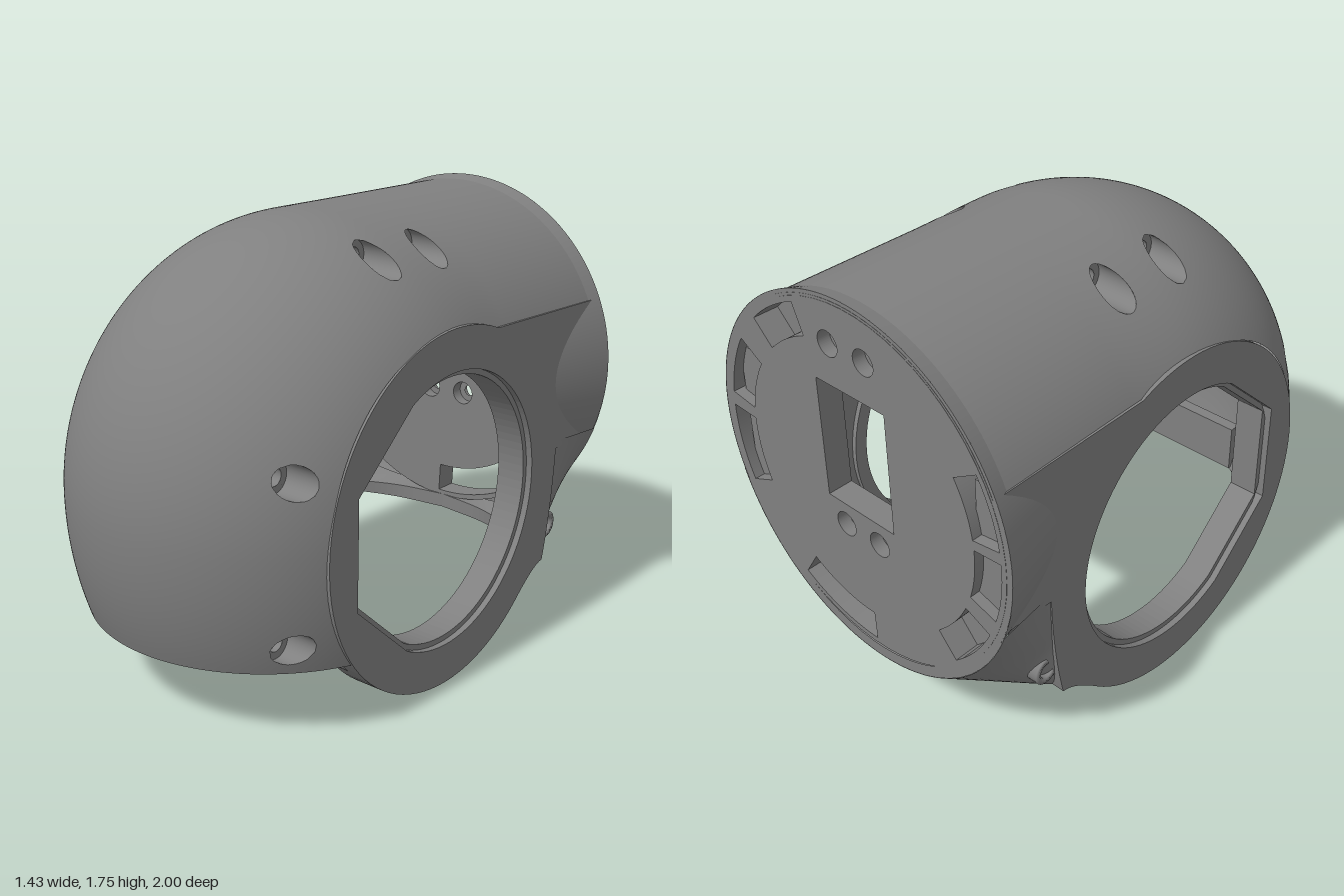
import * as THREE from 'three';

const WALL = 0.08, REACH = 1.0;                 // shell thickness, bend centre to crown
const BY = 0.735, CY = 1.035, CUT = 0.29;       // bend centre, back tube axis, bottom cut
const SQUASH = 0.85, SIDE = 0.64;               // lower bend stretch, flat side position
const RING = { z: -0.05, y: 0.69, r: 0.688 };
const SCREWS = [[0.10, 1.605, 0.29], [-0.18, 1.605, 0.29], [0.70, 0.99, 0.46], [0.70, 0.39, 0.46]]; // z, y, floor x
const { degToRad: rad, lerp, smoothstep } = THREE.MathUtils;

const mat = new THREE.MeshStandardMaterial({ color: 0x808080 });
const thin = mat.clone();
thin.side = THREE.DoubleSide;

// Outer tube radius: round at the back, fuller in the bend so it meets the side rings
const outerR = z => 0.70 + 0.036 * smoothstep(z, -0.35, 0);

// Half width of the outer skin at a given z and y
function tubeX(z, y, wall) {
  const R = outerR(z), bend = REACH - R;
  const dy = (y - BY) * (y < BY ? SQUASH : 1);
  const d = (z < 0 ? dy : Math.hypot(z, dy)) - bend;
  return Math.sqrt(Math.max(0, (R - wall) ** 2 - d * d));
}

// Point on the bent tube: t below 0 is the straight run, 0..1 the bend; u runs -1..1 across
function tubePoint(t, u, wall) {
  const R = outerR(t), phi = u * Math.asin(SIDE / R);
  const rho = REACH - R + (R - wall) * Math.cos(phi), x = (R - wall) * Math.sin(phi);
  if (t < 0) return new THREE.Vector3(x, BY + rho, t);
  const a = t * (Math.PI / 2 + Math.asin((BY - CUT) * SQUASH / rho));
  const dy = rho * Math.cos(a);
  return new THREE.Vector3(x, BY + (dy < 0 ? dy / SQUASH : dy), rho * Math.sin(a));
}

// Surface from a rule f(u, v); points inside a screw hole snap to its rim
function gridSurface(nu, nv, f, { hole = 0, wall = 0, flip = false } = {}) {
  const pos = [], idx = [], inside = [];
  for (let j = 0; j <= nv; j++) for (let i = 0; i <= nu; i++) {
    const p = f(i / nu, j / nv);
    let hit = false;
    if (hole) for (const [z, y] of SCREWS) {
      const d = Math.hypot(p.z - z, p.y - y) || 1e-6;
      if (d >= hole) continue;
      hit = true;
      p.z = z + (p.z - z) * hole / d;
      p.y = y + (p.y - y) * hole / d;
      p.x = Math.sign(p.x) * tubeX(p.z, p.y, wall);
    }
    inside.push(hit);
    pos.push(p.x, p.y, p.z);
  }
  const tri = (a, b, c) => {
    if (inside[a] && inside[b] && inside[c]) return;
    if (flip) idx.push(a, c, b); else idx.push(a, b, c);
  };
  for (let j = 0; j < nv; j++) for (let i = 0; i < nu; i++) {
    const a = j * (nu + 1) + i, b = a + nu + 1;
    tri(a, b, a + 1);
    tri(a + 1, b, b + 1);
  }
  const g = new THREE.BufferGeometry();
  g.setAttribute('position', new THREE.Float32BufferAttribute(pos, 3));
  g.setIndex(idx);
  g.computeVertexNormals();
  return g;
}

// D-shaped opening with a flat toward the front and two slanted corners
function dHole(r) {
  const k = r / 0.52, a = rad(61.5), p = new THREE.Path();
  p.moveTo(RING.z + 0.53 * k, RING.y - 0.205 * k);
  p.lineTo(RING.z + 0.53 * k, RING.y + 0.205 * k);
  p.absarc(RING.z, RING.y, r, a, 2 * Math.PI - a, false);
  p.closePath();
  return p;
}

// Extrude a (z, y) outline across x between x0 and x1, on the side given by s
function sidePlate(shape, s, x0, x1) {
  const g = new THREE.ExtrudeGeometry(shape, { depth: x1 - x0, bevelEnabled: false, curveSegments: 32 });
  return g.rotateY(-Math.PI / 2).translate(s > 0 ? x1 : -x0, 0, 0);
}

export function createModel() {
  const model = new THREE.Group();
  const add = (name, geo, material = mat, parent = model) => {
    const m = new THREE.Mesh(geo, material);
    m.name = name;
    parent.add(m);
    return m;
  };

  // Bent shell: outer skin, inner skin and bottom rim
  const skin = (wall, start) => (u, v) => tubePoint(lerp(start, 1, v), u * 2 - 1, wall);
  add('outerShell', gridSurface(80, 140, skin(0, -1), { hole: 0.06 }));
  add('innerShell', gridSurface(80, 140, skin(WALL, -0.89), { hole: 0.035, wall: WALL, flip: true }));
  add('shellBottomRim', gridSurface(60, 1, (u, v) => tubePoint(1, u * 2 - 1, v * WALL)), thin);
  add('frontInnerPad', new THREE.BoxGeometry(0.6, 0.2, 0.05).translate(0, 0.4, 0.775));

  // Side plates: bearing ring merging into a flat cheek toward the back
  const plate = new THREE.Shape();
  plate.moveTo(-0.96, 1.318);
  plate.lineTo(-0.96, 0.76);
  plate.lineTo(-0.75, 0.752);
  plate.quadraticCurveTo(-0.74, 0.50, -0.69, CUT);
  plate.quadraticCurveTo(-0.635, CUT, -0.505, 0.174);
  plate.absarc(RING.z, RING.y, RING.r, rad(-131.4), rad(111.5), false);
  plate.closePath();
  plate.holes.push(dHole(0.528));
  const lip = new THREE.Shape().absarc(RING.z, RING.y, 0.56, 0, Math.PI * 2);
  lip.holes.push(dHole(0.506));
  // Small web between the ring and the front shell edge
  const web = new THREE.Shape();
  web.moveTo(0.61, 0.295);
  web.quadraticCurveTo(0.52, 0.285, 0.44, 0.21);
  web.lineTo(0.44, 0.33);
  web.lineTo(0.61, 0.33);
  web.closePath();
  for (const [side, s] of [['left', 1], ['right', -1]]) {
    add(side + 'SidePlate', sidePlate(plate, s, 0.525, SIDE + 0.005));
    add(side + 'RingLip', sidePlate(lip, s, 0.505, 0.62));
    add(side + 'RingWeb', sidePlate(web, s, 0.52, 0.58));
  }

  // Flared collar around the back end
  const flare = new THREE.LatheGeometry(
    [new THREE.Vector2(0.645, -0.72), new THREE.Vector2(0.715, -1)], 90, rad(66), rad(228));
  add('backCollar', flare.rotateX(Math.PI / 2).translate(0, CY, 0), thin);

  // Collar rim, slightly deeper below the axis where it meets the skirt
  const DROP = 1.042;
  const rim = new THREE.RingGeometry(0.67, 0.715, 64);
  const rp = rim.attributes.position;
  for (let i = 0; i < rp.count; i++) if (rp.getY(i) < 0) rp.setY(i, rp.getY(i) * DROP);
  add('backCollarRim', rim.translate(0, CY, -0.999), thin);

  // Lower skirt: blends the round back end into the side plates and open bottom
  const edge = new THREE.CatmullRomCurve3([
    [0.638, 0.78, -0.73], [0.638, 0.52, -0.70], [0.622, 0.30, -0.66],
    [0.50, CUT, -0.76], [0.25, CUT, -0.86], [0, CUT, -0.90],
  ].map(p => new THREE.Vector3(...p)));
  const skirtPoint = (u, v, inset) => {
    const psi = lerp(rad(20), Math.PI / 2, u), c = Math.cos(psi), s = Math.sin(psi);
    const p = new THREE.Vector3(0.715 * c, CY - 0.715 * DROP * s, -1).lerp(edge.getPoint(u), v);
    return p.add(new THREE.Vector3(-inset * c, inset * s, 0));
  };
  const skirtParts = {
    SkirtOuter: gridSurface(32, 8, (u, v) => skirtPoint(u, v, 0)),
    SkirtInner: gridSurface(32, 8, (u, v) => skirtPoint(u, lerp(0.4, 1, v), 0.06)),
    SkirtEdge: gridSurface(32, 1, (u, v) => skirtPoint(u, 1, v * 0.06)),
  };
  for (const [side, s] of [['left', 1], ['right', -1]])
    for (const [part, geo] of Object.entries(skirtParts)) add(side + part, geo, thin).scale.x = s;

  // Back plate with cable window, screw holes and curved slots
  const back = new THREE.Shape().absarc(0, 0, 0.69, 0, Math.PI * 2);
  const win = new THREE.Path();
  win.moveTo(-0.165, -0.11).lineTo(0.165, -0.11).lineTo(0.165, 0.37).lineTo(-0.165, 0.37).closePath();
  back.holes.push(win);
  const plateScrews = [[-0.085, 0.53], [0.085, 0.53], [-0.085, -0.2], [0.085, -0.2]];
  for (const [x, y] of plateScrews) back.holes.push(new THREE.Path().absarc(x, y, 0.048, 0, Math.PI * 2));
  for (const [a, b] of [[45, 68], [8, 32], [-24, 3], [149, 172], [176, 198], [205, 229], [268, 302]]) {
    const slot = new THREE.Path();
    slot.absarc(0, 0, 0.668, rad(a), rad(b), false);
    slot.absarc(0, 0, 0.55, rad(b), rad(a), true);
    slot.closePath();
    back.holes.push(slot);
  }
  add('backPlate', new THREE.ExtrudeGeometry(back, { depth: 0.10, bevelEnabled: false, curveSegments: 32 })
    .translate(0, CY, -1));
  add('slotFloor', new THREE.RingGeometry(0.5, 0.685, 48, 1, rad(-30), rad(265))
    .translate(0, CY, -0.899), thin);
  for (const [x, y] of plateScrews)
    add('plateScrewSeat', new THREE.RingGeometry(0.022, 0.05, 20).translate(x, CY + y, -0.95), thin);

  // Counterbored screw seats through the shell, both sides
  for (const [z, y, floor] of SCREWS) {
    const cup = new THREE.CylinderGeometry(0.06, 0.06, 1, 28, 1, true).rotateZ(-Math.PI / 2).translate(0, y, z);
    const p = cup.attributes.position;
    for (let i = 0; i < p.count; i++)
      p.setX(i, p.getX(i) > 0 ? tubeX(p.getZ(i), p.getY(i), 0) : floor);
    const seat = new THREE.RingGeometry(0.033, 0.06, 28).rotateY(Math.PI / 2).translate(floor, y, z);
    const bore = new THREE.CylinderGeometry(0.033, 0.033, 0.05, 20, 1, true)
      .rotateZ(Math.PI / 2).translate(floor - 0.025, y, z);
    for (const s of [1, -1]) {
      const g = new THREE.Group();
      g.name = 'screwSeat';
      g.scale.x = s;
      add('counterbore', cup, thin, g);
      add('seatRing', seat, thin, g);
      add('bore', bore, thin, g);
      model.add(g);
    }
  }

  // Small hollow bosses low at the back
  const boss = new THREE.LatheGeometry([[0.03, -0.03], [0.03, 0.03], [0.055, 0.03], [0.055, -0.03]]
    .map(q => new THREE.Vector2(...q)), 20).rotateZ(-Math.PI / 2).translate(0.592, 0.42, -0.75);
  for (const s of [1, -1]) add(s > 0 ? 'leftBoss' : 'rightBoss', boss, thin).scale.x = s;

  return model;
}
